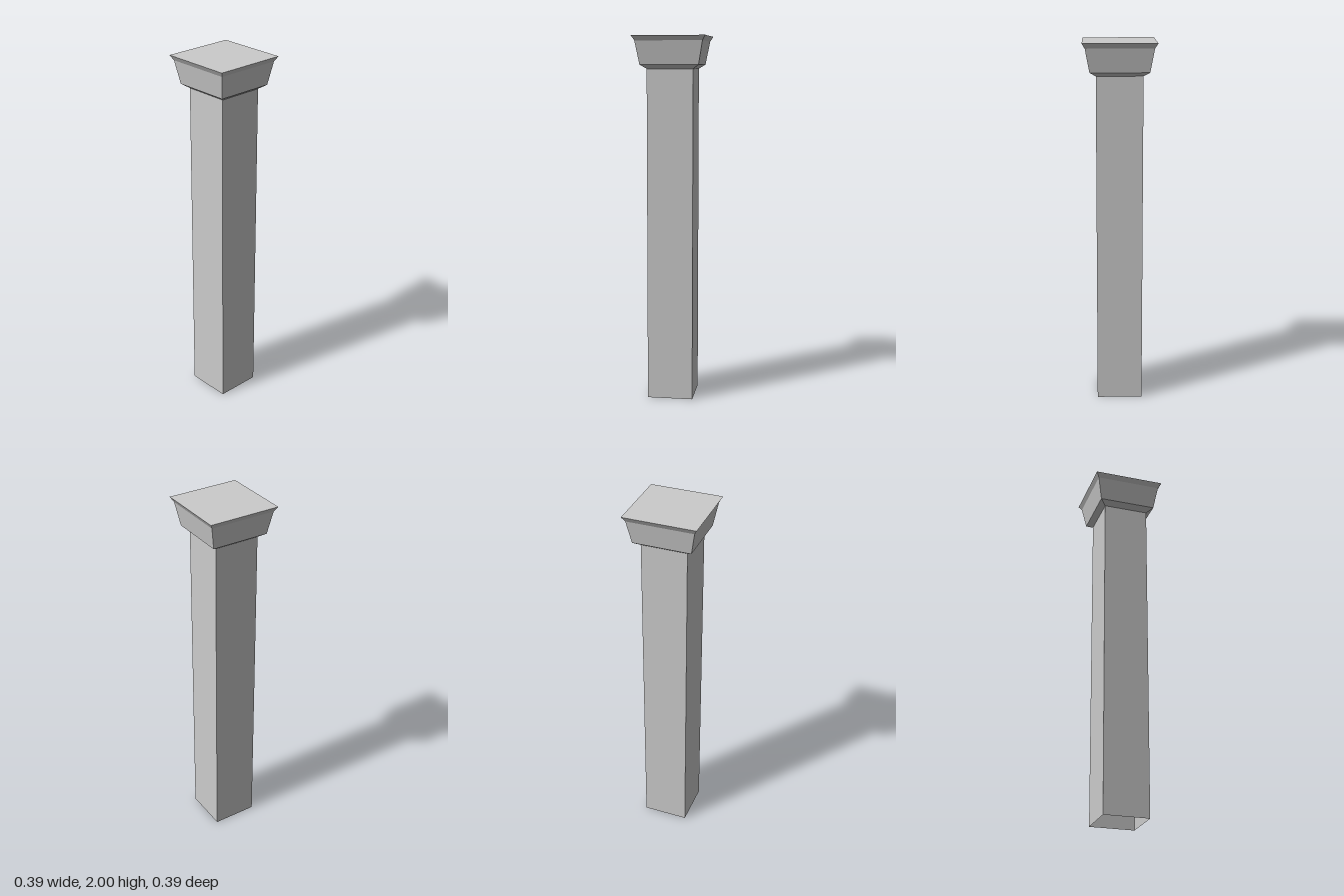
import * as THREE from 'three';

const material = new THREE.MeshStandardMaterial({
  color: 0xcccccc, flatShading: true, side: THREE.DoubleSide,
});

// Square section swept up a profile of [half width, height] pairs
function squareProfile(name, profile) {
  const points = profile.map(([half, y]) => new THREE.Vector2(half * Math.SQRT2, y));
  const mesh = new THREE.Mesh(new THREE.LatheGeometry(points, 4, Math.PI / 4), material);
  mesh.name = name;
  return mesh;
}

export function createModel() {
  const column = new THREE.Group();
  column.name = 'column';

  // Hollow square shaft, open at the foot
  column.add(squareProfile('shaft', [[0.125, 0], [0.125, 1.825]]));

  // Capital: chamfered underside, flared body, projecting lip and flat top
  column.add(squareProfile('capital', [
    [0.125, 1.825], [0.158, 1.847], [0.181, 1.973], [0.197, 2], [0, 2],
  ]));

  return column;
}
